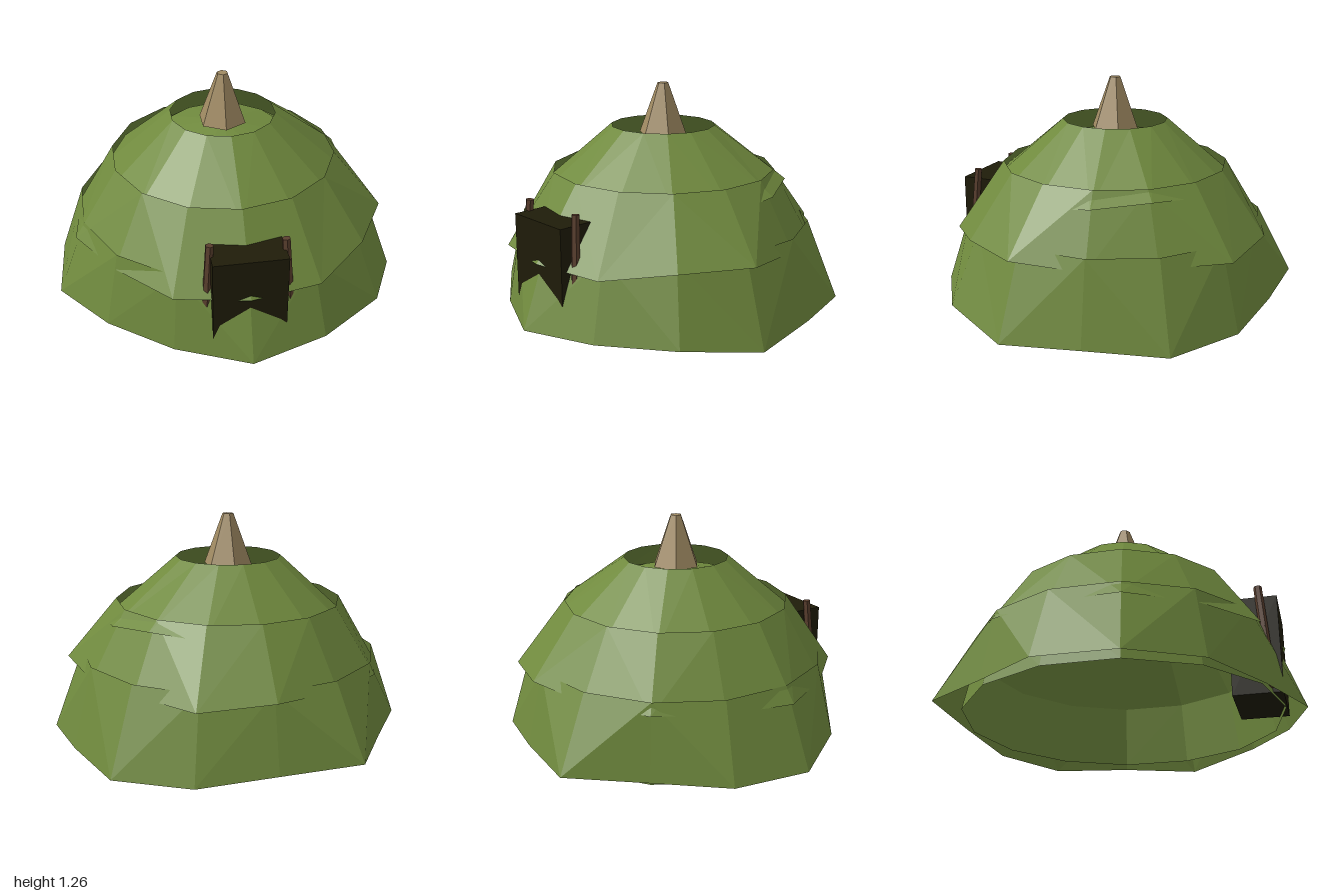
import * as THREE from 'three';

const SIDES = 14;
const CENTRE_Z = -0.035;

const make = (name, hex, double = false) => {
  const m = new THREE.MeshStandardMaterial({ color: hex, flatShading: true });
  m.name = name;
  if (double) m.side = THREE.DoubleSide;
  return m;
};

// Open canvas skirt: an even top ring above a ragged hem given as radii and heights
function skirt(topRadius, topY, hemRadii, hemY) {
  const point = (k, r, y) => {
    const a = (k / SIDES) * Math.PI * 2;
    return [r * Math.sin(a), y, r * Math.cos(a) + CENTRE_Z];
  };
  const pos = [];
  for (let k = 0; k < SIDES; k++) {
    const n = (k + 1) % SIDES;
    const b0 = point(k, hemRadii[k], hemY[k]), b1 = point(n, hemRadii[n], hemY[n]);
    const t0 = point(k, topRadius, topY), t1 = point(n, topRadius, topY);
    // fold each panel outwards, along the diagonal from its wider hem corner
    if (hemRadii[k] > hemRadii[n]) pos.push(...b0, ...b1, ...t1, ...b0, ...t1, ...t0);
    else pos.push(...b0, ...b1, ...t0, ...b1, ...t1, ...t0);
  }
  const g = new THREE.BufferGeometry();
  g.setAttribute('position', new THREE.Float32BufferAttribute(pos, 3));
  g.computeVertexNormals();
  return g;
}

export function createModel() {
  const canvas = make('green canvas', 0x708a3e, true);
  const dark = make('dark opening', 0x1f1c09);
  const wood = make('brown wood', 0x5a3f2e);
  const pale = make('pale wood', 0xa08a62);

  const model = new THREE.Group();
  model.name = 'tent';
  const add = (name, geometry, material) => {
    const mesh = new THREE.Mesh(geometry, material);
    mesh.name = name;
    model.add(mesh);
    return mesh;
  };

  // Inner dome beneath the layers, open at the ground
  const dome = add('innerDome',
    new THREE.SphereGeometry(0.9, SIDES, 4, 0, Math.PI * 2, 0, Math.PI / 2), canvas);
  dome.scale.y = 1.035;
  dome.rotation.y = Math.PI / SIDES;
  dome.position.set(0, 0.04, CENTRE_Z);

  // Three overlapping layers of canvas
  add('lowerSkirt', skirt(0.85, 0.475,
    [1.015, 0.984, 1.02, 1.025, 0.964, 1.035, 0.984, 0.945, 1.06, 0.92, 0.996, 1.025, 0.95, 0.925],
    [0.035, 0.055, 0.065, 0.0, 0.025, 0.01, 0.02, 0.06, 0.075, 0.06, 0.05, 0.035, 0.06, 0.035]), canvas);
  add('middleSkirt', skirt(0.645, 0.775,
    [0.92, 0.92, 0.9, 0.935, 0.85, 0.84, 0.93, 0.9, 0.86, 0.88, 0.86, 0.905, 0.87, 0.92],
    [0.385, 0.375, 0.425, 0.43, 0.4, 0.41, 0.4, 0.43, 0.42, 0.41, 0.4, 0.385, 0.39, 0.375]), canvas);
  add('upperSkirt', skirt(0.3, 1.02,
    [0.71, 0.68, 0.69, 0.72, 0.72, 0.71, 0.69, 0.68, 0.68, 0.69, 0.67, 0.67, 0.68, 0.69],
    [0.68, 0.69, 0.68, 0.66, 0.69, 0.72, 0.7, 0.69, 0.69, 0.68, 0.68, 0.68, 0.69, 0.69]), canvas);

  // Six-sided pole tip
  const tip = add('poleTip', new THREE.CylinderGeometry(0.032, 0.14, 0.29, 6), pale);
  tip.position.set(0, 1.115, CENTRE_Z);

  // Doorway block pushed through the canvas
  const door = add('doorway', new THREE.BoxGeometry(0.4, 0.56, 0.27), dark);
  door.position.set(0, 0.34, 0.735);

  // Leaning door posts
  for (const s of [1, -1]) {
    const top = new THREE.Vector3(s * 0.2, 0.68, 0.77);
    const foot = new THREE.Vector3(s * 0.24, 0.08, 0.815);
    const dir = top.clone().sub(foot);
    const post = add(s > 0 ? 'leftDoorPost' : 'rightDoorPost',
      new THREE.CylinderGeometry(0.023, 0.027, dir.length(), 6), wood);
    post.position.copy(top).add(foot).multiplyScalar(0.5);
    post.quaternion.setFromUnitVectors(new THREE.Vector3(0, 1, 0), dir.normalize());
  }
  return model;
}
